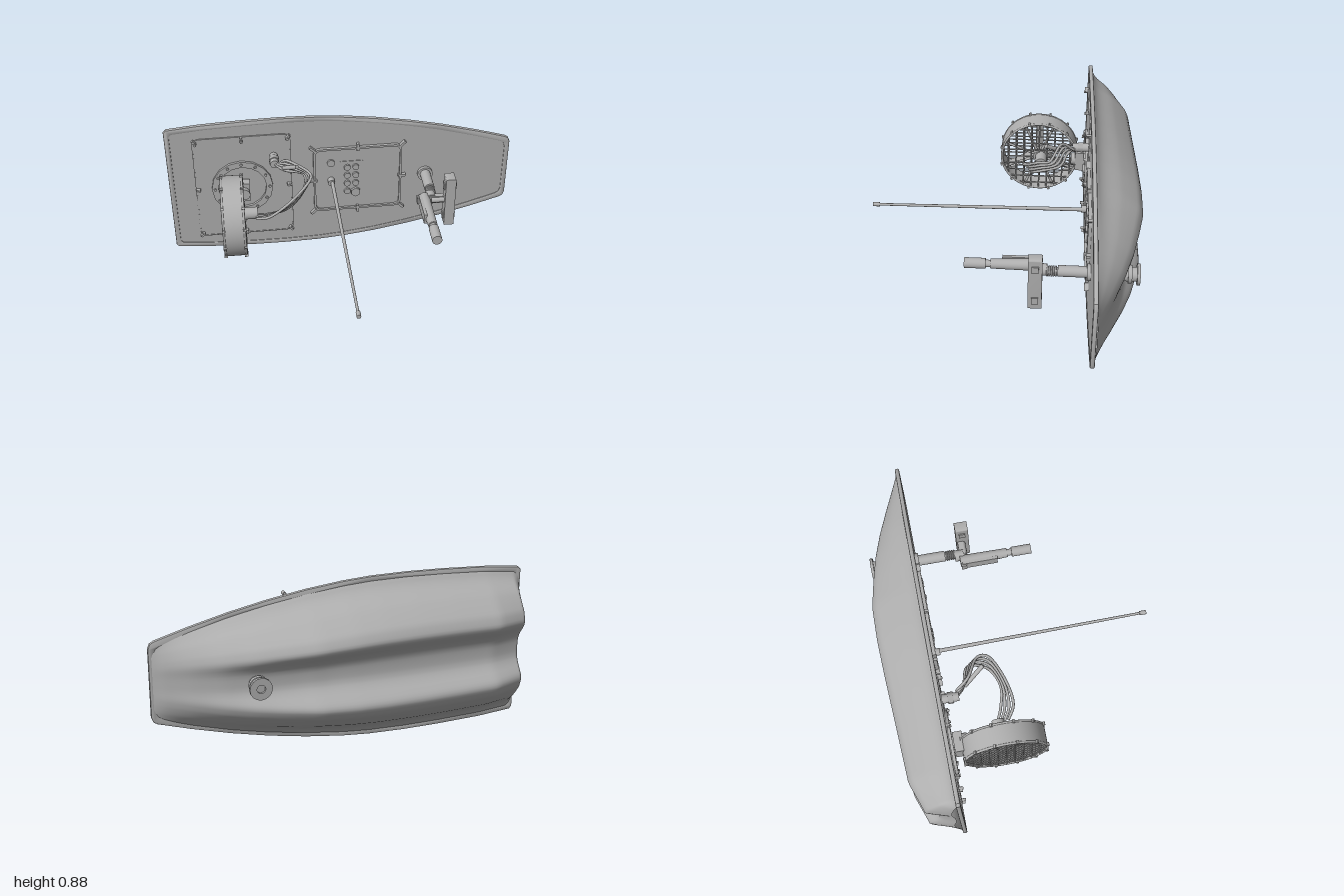
import * as THREE from 'three';
import { toCreasedNormals } from 'three/addons/utils/BufferGeometryUtils.js';

const CY = 0.443; // centre line height
const V = (x, y, z) => new THREE.Vector3(x, y, z);

// Linear lookup in a list of [key, value]
function lookup(list, k) {
  for (let i = 1; i < list.length; i++) {
    const [a, va] = list[i - 1], [b, vb] = list[i];
    if (k <= b) return va + (vb - va) * Math.max(0, (k - a) / (b - a));
  }
  return list[list.length - 1][1];
}

const WIDTH = [[-1, 0.395], [-0.985, 0.41], [-0.8, 0.427], [-0.55, 0.437], [-0.35, 0.44], [-0.15, 0.436], [0, 0.425], [0.2, 0.4],
  [0.4, 0.365], [0.6, 0.321], [0.8, 0.268], [0.97, 0.217], [0.99, 0.205], [1, 0.18]];
const DEPTH = [[-1, 0.0], [-0.985, 0.06], [-0.955, 0.17], [-0.91, 0.185], [-0.79, 0.228], [-0.5, 0.242], [-0.2, 0.258],
  [0, 0.266], [0.2, 0.264], [0.35, 0.238], [0.5, 0.207], [0.65, 0.16], [0.8, 0.1], [0.93, 0.042], [1, 0.005]];
const SECTION = [[0, 0.62], [0.08, 0.625], [0.15, 0.66], [0.22, 0.75], [0.28, 0.86], [0.34, 0.96], [0.4, 1], [0.46, 0.97], [0.54, 0.9],
  [0.64, 0.72], [0.74, 0.52], [0.84, 0.24], [0.9, 0.12], [0.97, 0.04], [1, 0]];

// Deck outline as a shape, shrunk by an inset
function outline(inset, Type = THREE.Shape) {
  const side = WIDTH.map(([x, w]) => [x * (1 - inset), w - inset]);
  const pts = [...side.map(([x, w]) => new THREE.Vector2(x, -w)), ...side.reverse().map(([x, w]) => new THREE.Vector2(x, w))];
  return new Type(pts);
}

function roundRect(w, h, r, Type = THREE.Shape) {
  const s = new Type(), a = w / 2, b = h / 2;
  s.moveTo(-a + r, -b);
  s.lineTo(a - r, -b); s.quadraticCurveTo(a, -b, a, -b + r);
  s.lineTo(a, b - r); s.quadraticCurveTo(a, b, a - r, b);
  s.lineTo(-a + r, b); s.quadraticCurveTo(-a, b, -a, b - r);
  s.lineTo(-a, -b + r); s.quadraticCurveTo(-a, -b, -a + r, -b);
  return s;
}

// Twin-lobed hull lofted through cross-sections along x
function hullGeometry() {
  const pos = [], idx = [], nx = 80, nt = 64;
  for (let i = 0; i <= nx; i++) {
    const x = -0.99 + 1.975 * (1 - Math.cos(Math.PI * i / nx)) / 2;
    const w = lookup(WIDTH, x) - 0.015, d = lookup(DEPTH, x);
    const bow = THREE.MathUtils.smoothstep(x, 0.1, 0.95);
    for (let j = 0; j <= nt; j++) {
      const t = -1 + 2 * j / nt, a = Math.abs(t);
      const k = THREE.MathUtils.lerp(lookup(SECTION, a), 1 - Math.pow(a, 3), bow * 0.75);
      pos.push(x, CY + t * w, -0.484 - 0.014 * x - d * k);
      if (i < nx && j < nt) {
        const p = i * (nt + 1) + j, q = p + nt + 1;
        idx.push(p, p + 1, q, p + 1, q + 1, q);
      }
    }
  }
  const g = new THREE.BufferGeometry();
  g.setAttribute('position', new THREE.Float32BufferAttribute(pos, 3));
  g.setIndex(idx);
  g.computeVertexNormals();
  return g;
}

export function createModel() {
  const root = new THREE.Group();
  root.name = 'boat';
  const grey = new THREE.MeshStandardMaterial({ color: 0xb0b0b0, side: THREE.DoubleSide });
  grey.name = 'grey';

  const add = (parent, name, geo, x = 0, y = 0, z = 0) => {
    const m = new THREE.Mesh(geo, grey);
    m.name = name;
    m.position.set(x, y, z);
    parent.add(m);
    return m;
  };
  const box = (p, name, w, h, d, x, y, z) => add(p, name, new THREE.BoxGeometry(w, h, d), x, y, z);
  // Cylinder between two points
  const rod = (p, name, a, b, r, r2 = r, sides = 24) => {
    const dir = b.clone().sub(a);
    const m = add(p, name, new THREE.CylinderGeometry(r2, r, dir.length(), sides), ...a.clone().add(b).multiplyScalar(0.5).toArray());
    m.quaternion.setFromUnitVectors(V(0, 1, 0), dir.normalize());
    return m;
  };
  const plate = (p, name, shape, depth, x, y, z, bevel = 0) => add(p, name, toCreasedNormals(new THREE.ExtrudeGeometry(shape, {
    depth, curveSegments: 8, bevelEnabled: bevel > 0, bevelSize: bevel, bevelOffset: -bevel, bevelThickness: bevel, bevelSegments: 2,
  }), 0.5), x, y, z);
  const group = (name) => { const g = new THREE.Group(); g.name = name; root.add(g); return g; };

  // Hull and keel fitting
  add(root, 'hull', hullGeometry());
  const fitting = group('hullFitting');
  rod(fitting, 'fittingStem', V(0.5, CY, -0.6), V(0.5, CY, -0.72), 0.038);
  rod(fitting, 'fittingCollar', V(0.5, CY, -0.67), V(0.5, CY, -0.69), 0.048);
  const flange = new THREE.Shape().absarc(0, 0, 0.057, 0, Math.PI * 2);
  flange.holes.push(new THREE.Path().absarc(0, 0, 0.022, 0, Math.PI * 2, true));
  plate(fitting, 'fittingFlange', flange, 0.016, 0.5, CY, -0.732);

  // Deck, tilted slightly towards the bow; local z = 0 is its surface
  const deck = group('deck');
  deck.position.set(0, CY, -0.472);
  deck.rotation.y = 0.0145;
  plate(deck, 'deckPlate', outline(0.02), 0.012, 0, 0, -0.012);
  const rim = outline(0);
  rim.holes.push(outline(0.03, THREE.Path));
  plate(deck, 'rim', rim, 0.012, 0, 0, -0.014, 0.006);

  // Hatches: a thin panel, a raised frame and clips around it
  const hatch = (name, x, y, w, h, r, frame, rise) => {
    plate(deck, name, roundRect(w, h, r), 0.005, x, y, 0);
    const ring = roundRect(w, h, r);
    ring.holes.push(roundRect(w - frame * 2, h - frame * 2, r * 0.8, THREE.Path));
    plate(deck, name + 'Frame', ring, rise, x, y, 0);
  };
  hatch('rearHatch', -0.57, 0, 0.56, 0.68, 0.05, 0.006, 0.008);
  hatch('controlHatch', 0.097, 0.005, 0.52, 0.435, 0.045, 0.012, 0.018);
  for (const i of [-1, 0, 1]) for (const j of [-1, 0, 1]) {
    if (!i && !j) continue;
    const c = box(deck, 'hatchClip', 0.045, 0.014, 0.022, 0.097 + i * 0.262, 0.005 + j * 0.218, 0.011);
    c.rotation.z = Math.atan2(j, i);
    const s = box(deck, 'rearHatchClip', 0.028, 0.012, 0.024, -0.57 + i * 0.265, j * 0.325, 0.012);
    s.rotation.z = Math.atan2(j, i);
    rod(deck, 'rearHatchScrew', V(-0.57 + i * 0.26, j * 0.315, 0), V(-0.57 + i * 0.26, j * 0.315, 0.03), 0.008, 0.008, 10);
  }

  // Control buttons
  const button = (x, y, r, h, sides = 20) => rod(deck, 'button', V(x, y, 0), V(x, y, h), r, r, sides);
  plate(deck, 'buttonPlate', roundRect(0.14, 0.25, 0.01), 0.008, 0.06, 0, 0);
  for (let i = 0; i < 4; i++) for (const x of [0.035, 0.085]) {
    if (i === 3 && x > 0.05) button(x, -0.09, 0.03, 0.024, 6);
    else button(x, 0.085 - i * 0.056, 0.019, 0.02);
  }
  button(-0.06, 0.12, 0.023, 0.016);

  // Fan mounting ring
  const mount = new THREE.Shape().absarc(0, 0, 0.178, 0, Math.PI * 2);
  mount.holes.push(new THREE.Path().absarc(0, 0, 0.14, 0, Math.PI * 2, true));
  plate(deck, 'fanMountRing', mount, 0.02, -0.58, 0, 0);
  for (let i = 0; i < 12; i++) {
    const a = i * Math.PI / 6, x = -0.58 + 0.159 * Math.cos(a), y = 0.159 * Math.sin(a);
    rod(deck, 'mountBolt', V(x, y, 0), V(x, y, 0.028), 0.008, 0.008, 8);
  }

  // Antenna
  const antenna = group('antenna');
  rod(antenna, 'antennaBase', V(-0.06, CY, -0.475), V(-0.06, CY, -0.43), 0.02);
  rod(antenna, 'antennaRod', V(-0.055, CY, -0.44), V(-0.04, CY - 0.004, 0.72), 0.011, 0.007, 12);
  rod(antenna, 'antennaTip', V(-0.04, CY - 0.004, 0.7), V(-0.04, CY - 0.004, 0.737), 0.012, 0.012, 12);

  // Ducted fan, built about its own centre with its axis along x
  const fan = group('fan');
  fan.position.set(-0.638, 0.445, -0.175);
  const duct = new THREE.LatheGeometry([[0.216, -0.058], [0.226, -0.058], [0.226, 0.058], [0.216, 0.058], [0.216, -0.058]]
    .map(([r, h]) => new THREE.Vector2(r, h)), 64);
  add(fan, 'duct', toCreasedNormals(duct, 0.5)).rotation.z = Math.PI / 2;
  for (const sx of [-0.057, 0.057]) {
    add(fan, 'guardRing', new THREE.TorusGeometry(0.222, 0.007, 8, 64), sx).rotation.y = Math.PI / 2;
    for (let i = -4; i <= 4; i++) {
      const o = i * 0.046, c = Math.sqrt(0.22 * 0.22 - o * o);
      rod(fan, 'guardWire', V(sx, -c, o), V(sx, c, o), 0.0045, 0.0045, 6);
      rod(fan, 'guardWire', V(sx, o, -c), V(sx, o, c), 0.0045, 0.0045, 6);
    }
    for (let i = 0; i < 12; i++) {
      const a = (i + 0.5) * Math.PI / 6;
      box(fan, 'guardClip', 0.018, 0.02, 0.012, sx, 0.227 * Math.cos(a), 0.227 * Math.sin(a)).rotation.x = a;
    }
  }
  for (let i = 0; i < 8; i++) {
    const a = (i + 0.5) * Math.PI / 4;
    rod(fan, 'spoke', V(0.04, 0, 0), V(0.04, 0.218 * Math.cos(a), 0.218 * Math.sin(a)), 0.008, 0.008, 8);
  }
  for (let i = 0; i < 3; i++) {
    const pivot = new THREE.Group();
    pivot.name = 'blade';
    pivot.rotation.x = i * Math.PI * 2 / 3;
    fan.add(pivot);
    box(pivot, 'bladePlate', 0.008, 0.19, 0.045, -0.01, 0.11, 0).rotation.y = 0.5;
  }
  rod(fan, 'hub', V(-0.045, 0, 0), V(0.06, 0, 0), 0.035);
  rod(fan, 'motor', V(0.055, 0, -0.012), V(0.135, 0, -0.012), 0.034);
  box(fan, 'fanFoot', 0.11, 0.12, 0.05, 0.045, 0, -0.24);
  rod(fan, 'fanPost', V(0.065, 0, -0.19), V(0.065, 0, -0.29), 0.035);

  // Cable gland and cables looping to the motor
  const wiring = group('wiring');
  rod(wiring, 'cableGland', V(-0.39, 0.64, -0.475), V(-0.39, 0.64, -0.37), 0.024);
  rod(wiring, 'glandNut', V(-0.39, 0.64, -0.43), V(-0.39, 0.64, -0.4), 0.032, 0.032, 6);
  for (let i = 0; i < 4; i++) {
    const k = i / 3, y = 0.62 + 0.02 * i;
    const path = new THREE.CatmullRomCurve3([
      V(-0.39 + 0.01 * i, 0.64, -0.38), V(-0.34 + 0.02 * k, y + 0.02 * k, -0.34 + 0.03 * k),
      V(-0.23 + 0.03 * k, 0.61 + 0.045 * k, -0.3 + 0.06 * k), V(-0.24 + 0.04 * k, 0.57 + 0.08 * k, -0.2 + 0.01 * k),
      V(-0.33 + 0.03 * k, 0.5 + 0.07 * k, -0.14 + 0.02 * k), V(-0.44, 0.45 + 0.03 * k, -0.16 + 0.07 * k),
      V(-0.51, 0.43 + 0.015 * k, -0.19 + 0.06 * k)]);
    add(wiring, 'cable', new THREE.TubeGeometry(path, 48, 0.008, 8));
  }
  rod(wiring, 'cablePlug', V(-0.34, 0.64, -0.33), V(-0.27, 0.715, -0.22), 0.012, 0.012, 12);

  // Mast with camera and lamp bar
  const mast = group('mast');
  rod(mast, 'mastPost', V(0.5, CY + 0.003, -0.48), V(0.5, CY + 0.003, -0.31), 0.03);
  rod(mast, 'mastFoot', V(0.5, CY, -0.485), V(0.5, CY, -0.46), 0.045);
  rod(mast, 'mastThread', V(0.5, CY, -0.32), V(0.5, CY, -0.2), 0.022);
  for (let i = 0; i < 5; i++) add(mast, 'threadRing', new THREE.TorusGeometry(0.024, 0.005, 8, 24), 0.5, CY, -0.3 + i * 0.011);
  rod(mast, 'mastHead', V(0.49, CY, -0.255), V(0.49, CY, -0.205), 0.032);
  box(mast, 'bracket', 0.16, 0.045, 0.03, 0.49, CY, -0.212);
  rod(mast, 'armPost', V(0.452, CY, -0.23), V(0.458, CY, 0.04), 0.034, 0.026);
  box(mast, 'armPlate', 0.018, 0.06, 0.2, 0.428, CY, -0.12);
  rod(mast, 'cameraNeck', V(0.458, CY, 0), V(0.458, CY, 0.08), 0.019);
  rod(mast, 'camera', V(0.458, CY, 0.065), V(0.458, CY, 0.177), 0.028);
  rod(mast, 'lampArm', V(0.49, CY, -0.2), V(0.57, CY, -0.2), 0.017);
  plate(mast, 'lampBar', roundRect(0.058, 0.314, 0.008), 0.072, 0.593, CY, -0.233);
  for (const s of [-1, 1]) {
    box(mast, 'lampCap', 0.008, 0.04, 0.036, 0.561, CY + s * 0.1, -0.197);
    box(mast, 'lampCap', 0.008, 0.04, 0.036, 0.625, CY + s * 0.1, -0.197);
  }
  return root;
}
